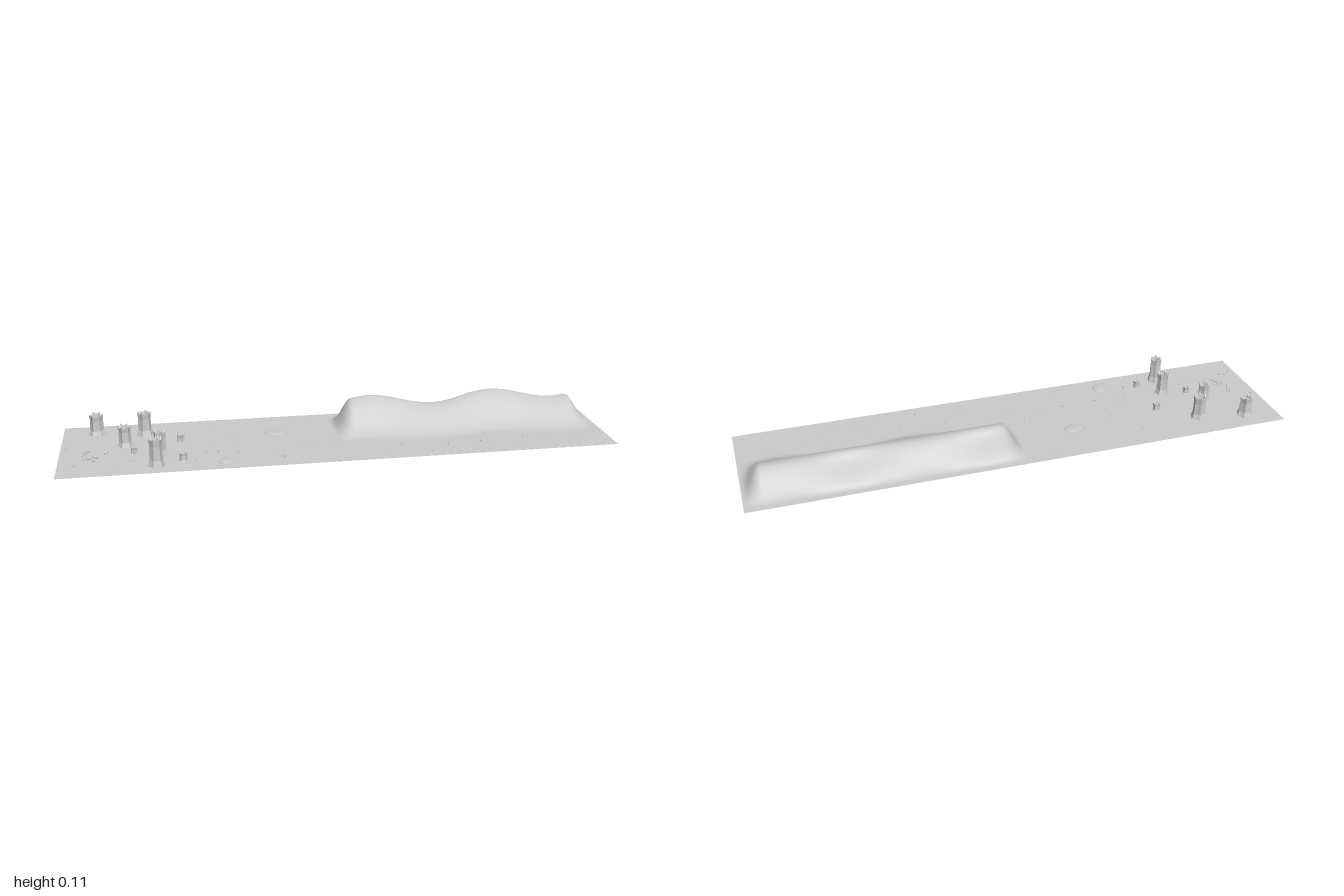
import * as THREE from 'three';

const GROUND = 0.006;
const grey = new THREE.MeshStandardMaterial({ color: 0xcccccc, side: THREE.DoubleSide });
const facet = new THREE.MeshStandardMaterial({ color: 0xcccccc, side: THREE.DoubleSide, flatShading: true });
const smooth = (a, b, v) => THREE.MathUtils.smoothstep(v, a, b);

function seeded(seed) {
  return () => {
    seed = (seed * 16807) % 2147483647;
    return seed / 2147483647;
  };
}

function add(group, name, geometry, material, x = 0, y = 0, z = 0) {
  const mesh = new THREE.Mesh(geometry, material);
  mesh.name = name;
  mesh.position.set(x, y, z);
  group.add(mesh);
  return mesh;
}

// Dune height: a winding crest with a long front slope and a steep back slope
function duneHeight(x, z) {
  const wave = Math.cos((x - 0.15) * Math.PI * 2 / 0.48);
  const crest = -0.122 - 0.02 * wave;
  const foot = 0.06 - 0.015 * wave;
  const across = z > crest ? 1 - smooth(crest, foot, z) : smooth(-0.225, crest, z);
  const ends = smooth(0, 0.075, x) * (1 - smooth(0.925, 0.995, x));
  return (0.091 + 0.015 * wave) * across * ends;
}

// Fluted, flared pillar with a jagged hollow crown
function pillarGeometry(radius, height, rand) {
  const sides = 12;
  const rings = [[1, 0], [0.92, 0.08], [0.72, 0.26], [0.66, 0.7], [0.74, 0.92], [0.5, 0.9], [0.42, 0.78], [0, 0.76]];
  const jag = Array.from({ length: sides }, (_, i) => (i % 2 ? -0.03 : 0.05) + (rand() - 0.5) * 0.05);
  const points = [], index = [];
  rings.forEach(([r, h], ring) => {
    for (let i = 0; i < sides; i++) {
      const a = i / sides * Math.PI * 2;
      const rr = r * radius * (i % 2 ? 0.82 : 1);
      const crown = ring === 4 || ring === 5 ? jag[i] : 0;
      points.push(Math.cos(a) * rr, (h + crown) * height, Math.sin(a) * rr);
      if (ring < rings.length - 1) {
        const p = ring * sides + i, q = ring * sides + (i + 1) % sides;
        index.push(p, p + sides, q, q, p + sides, q + sides);
      }
    }
  });
  const g = new THREE.BufferGeometry();
  g.setAttribute('position', new THREE.Float32BufferAttribute(points, 3));
  g.setIndex(index);
  g.computeVertexNormals();
  return g;
}

export function createModel() {
  const model = new THREE.Group();
  model.name = 'desertGround';
  const rand = seeded(71);

  // Ground sheet with the dune raised out of it
  const ground = new THREE.PlaneGeometry(2, 0.5, 200, 64);
  ground.rotateX(-Math.PI / 2);
  const pos = ground.attributes.position;
  for (let i = 0; i < pos.count; i++) {
    pos.setY(i, GROUND + duneHeight(pos.getX(i), pos.getZ(i)));
  }
  ground.computeVertexNormals();
  add(model, 'groundWithDune', ground, grey);

  // Pillars and stumps: x, z, radius, height
  const pillars = [
    [-0.876, -0.17, 0.036, 0.088], [-0.70, -0.135, 0.035, 0.1],
    [-0.77, -0.03, 0.032, 0.086], [-0.645, 0.08, 0.031, 0.1],
    [-0.66, 0.18, 0.033, 0.112], [-0.57, -0.037, 0.02, 0.036],
    [-0.737, 0.053, 0.018, 0.032], [-0.566, 0.15, 0.02, 0.038],
  ];
  for (const [x, z, r, h] of pillars) {
    const pillar = add(model, h > 0.05 ? 'pillar' : 'stump', pillarGeometry(r, h, rand), facet, x, 0, z);
    pillar.rotation.y = rand() * Math.PI;
  }

  // Low flat stones
  for (const [x, z, rx, rz] of [[-0.22, -0.073, 0.04, 0.027], [-0.42, 0.18, 0.024, 0.031]]) {
    const stone = add(model, 'flatStone', new THREE.SphereGeometry(1, 24, 10), grey, x, GROUND, z);
    stone.scale.set(rx, 0.004, rz);
  }

  // Twigs lying on the ground: x, z, length, heading
  const twigs = [
    [-0.908, 0.035, 0.05, 1.05], [-0.91, 0.015, 0.03, 0.9], [-0.89, 0.09, 0.06, -1.0],
    [-0.90, 0.085, 0.03, 0.5], [-0.875, 0.075, 0.03, -0.6], [-0.84, 0.035, 0.025, 0.2],
  ];
  for (const [x, z, length, heading] of twigs) {
    const g = new THREE.CylinderGeometry(0.002, 0.003, length, 5);
    g.rotateZ(Math.PI / 2);
    add(model, 'twig', g, facet, x, GROUND + 0.002, z).rotation.y = heading;
  }

  // Scattered pebbles: x, z pairs
  const pebbles = [
    -0.98, -0.03, -0.465, -0.16, -0.12, -0.2, -0.08, -0.22, -0.385, -0.03, -0.455, 0.03,
    -0.385, 0.03, -0.485, 0.075, -0.37, 0.1, -0.44, 0.08, -0.235, 0.1, -0.02, 0.1,
    -0.07, 0.05, -0.13, 0.065, -0.21, 0.165, -0.03, 0.235, -0.98, 0.16, -0.95, 0.14,
    -0.935, 0.145, -0.8, 0.15, -0.74, 0.12, -0.61, 0.15, -0.52, 0.16, 0.225, 0.12,
    0.405, 0.107, 0.395, 0.14, 0.155, 0.21, 0.15, 0.175, 0.32, 0.205, 0.475, 0.2,
    0.55, 0.18, 0.63, 0.18, 0.64, 0.215, 0.76, 0.14, 0.685, 0.12, 0.89, 0.12, 0.52, 0.13,
  ];
  for (let i = 0; i < pebbles.length; i += 2) {
    const size = 0.004 + rand() * 0.004;
    const pebble = add(model, 'pebble', new THREE.DodecahedronGeometry(size), facet, pebbles[i], GROUND + 0.001, pebbles[i + 1]);
    pebble.scale.set(1, 0.6, 0.8);
    pebble.rotation.y = rand() * Math.PI;
  }
  return model;
}
